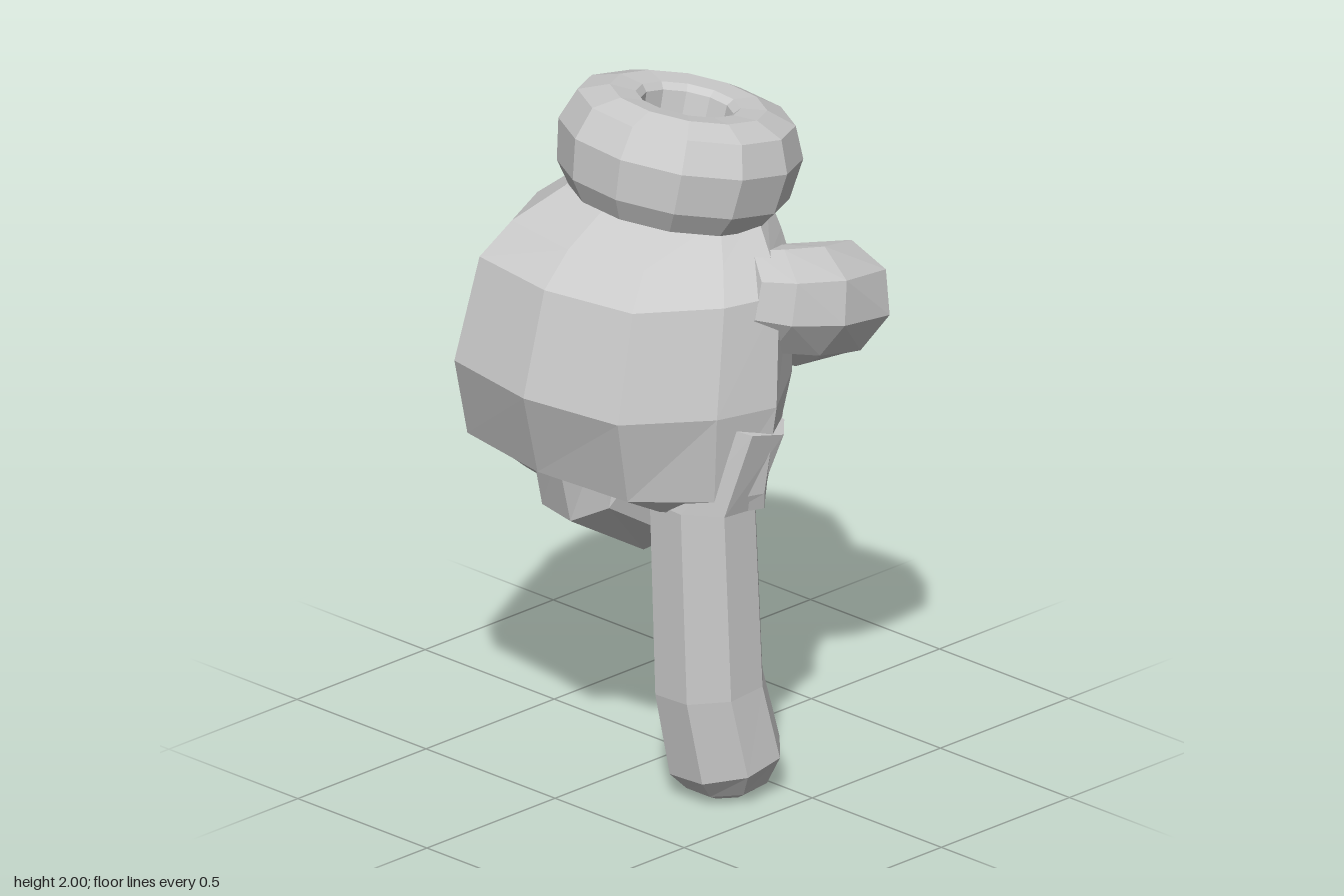
import * as THREE from 'three';

const grey = new THREE.MeshStandardMaterial({ color: 0xcccccc, flatShading: true });
const blue = new THREE.MeshStandardMaterial({ color: 0x7896a5, flatShading: true });

// Closed skin over loops that run counter-clockwise about the direction of travel
function loft(name, rings) {
  const n = rings[0].length;
  const pos = [];
  const tri = (...corners) => corners.forEach((p) => pos.push(p.x, p.y, p.z));
  const middle = (ring) => ring.reduce((s, p) => s.add(p), new THREE.Vector3()).divideScalar(n);
  const first = rings[0], last = rings[rings.length - 1];
  const start = middle(first), end = middle(last);
  for (let i = 0; i < n; i++) {
    const j = (i + 1) % n;
    for (let k = 0; k < rings.length - 1; k++) {
      const a = rings[k], b = rings[k + 1];
      tri(a[i], a[j], b[j]);
      tri(a[i], b[j], b[i]);
    }
    tri(first[j], first[i], start);
    tri(last[i], last[j], end);
  }
  const geo = new THREE.BufferGeometry();
  geo.setAttribute('position', new THREE.Float32BufferAttribute(pos, 3));
  geo.computeVertexNormals();
  const mesh = new THREE.Mesh(geo, grey);
  mesh.name = name;
  return mesh;
}

// Eight-sided finger along a path of [x, y, z, radius]; side is a fixed cross direction
function finger(name, path, side) {
  const pts = path.map((p) => new THREE.Vector3(p[0], p[1], p[2]));
  const across = new THREE.Vector3(...side);
  const rings = pts.map((p, k) => {
    const t = pts[Math.min(k + 1, pts.length - 1)].clone().sub(pts[Math.max(k - 1, 0)]).normalize();
    const u = across.clone().addScaledVector(t, -t.dot(across)).normalize();
    const v = t.clone().cross(u);
    return Array.from({ length: 8 }, (_, i) => {
      const a = ((i + 0.5) / 8) * Math.PI * 2;
      return p.clone().addScaledVector(u, Math.cos(a) * path[k][3]).addScaledVector(v, Math.sin(a) * path[k][3]);
    });
  });
  return loft(name, rings);
}

// Palm: one uneven outline scaled into a box at each height, sloping down to +x
function palm() {
  const outline = [[-0.7, 0.9], [-0.06, 1], [0.57, 0.82], [0.9, 0.2], [1, -0.3],
    [0.7, -0.85], [0, -1], [-0.6, -0.9], [-0.88, -0.65], [-1, -0.2], [-0.93, 0.25]];
  // y, left x, right x, back z, front z, slope
  const levels = [
    [0.89, -0.37, 0.42, -0.04, 0.38, 0.02],
    [0.95, -0.51, 0.43, -0.09, 0.50, 0.03],
    [1.2, -0.49, 0.46, -0.16, 0.58, 0.02],
    [1.5, -0.46, 0.43, -0.18, 0.50, 0.01],
    [1.59, -0.41, 0.36, -0.18, 0.40, 0.01],
    [1.69, -0.28, 0.28, -0.16, 0.29, 0.01],
    [1.75, -0.22, 0.25, -0.15, 0.24, 0.01],
  ];
  return loft('palm', levels.map(([y, x0, x1, z0, z1, slope]) => outline.map(([u, v]) =>
    new THREE.Vector3((x0 + x1) / 2 + (u * (x1 - x0)) / 2, y - u * slope, (z0 + z1) / 2 + (v * (z1 - z0)) / 2))));
}

// Tilted ring-shaped cuff with a blue floor in its opening
function cuff() {
  const group = new THREE.Group();
  group.name = 'cuff';
  const profile = [[0.18, -0.16], [0.28, -0.155], [0.325, -0.09], [0.342, 0.03], [0.305, 0.12],
    [0.22, 0.15], [0.147, 0.143], [0.13, 0.125], [0.12, -0.03]];
  const ring = new THREE.Mesh(
    new THREE.LatheGeometry(profile.map(([r, y]) => new THREE.Vector2(r, y)), 12, Math.PI / 12), grey);
  ring.name = 'cuffRing';
  const floor = new THREE.Mesh(new THREE.CircleGeometry(0.125, 12, Math.PI / 12), blue);
  floor.name = 'cuffFloor';
  floor.rotation.x = -Math.PI / 2;
  floor.position.y = 0.02;
  group.add(ring, floor);
  group.position.set(0.03, 1.81, 0.047);
  group.rotation.set(-0.19, 0, -0.06);
  return group;
}

export function createModel() {
  const model = new THREE.Group();
  model.name = 'pointingGlove';
  model.add(palm(), cuff());

  // Straight finger pointing down
  model.add(finger('indexFinger', [
    [0.305, 1.13, 0.12, 0.165], [0.258, 0.88, 0.185, 0.157], [0.27, 0.33, 0.172, 0.16],
    [0.285, 0.1, 0.125, 0.166], [0.285, 0.03, 0.118, 0.12], [0.285, 0.005, 0.116, 0.08],
  ], [1, 0, 0]));

  // Two fingers curled under the palm and back up
  model.add(finger('middleFinger', [
    [-0.05, 1.05, 0.36, 0.14], [-0.05, 0.91, 0.32, 0.16], [-0.05, 0.785, 0.1, 0.165], [-0.05, 0.81, -0.1, 0.165],
    [-0.06, 0.95, -0.23, 0.165], [-0.07, 1.1, -0.225, 0.145], [-0.08, 1.18, -0.215, 0.1], [-0.08, 1.21, -0.21, 0.05],
  ], [1, -0.2, 0]));
  model.add(finger('outerFinger', [
    [-0.33, 1.0, 0.3, 0.13], [-0.33, 0.89, 0.16, 0.14], [-0.34, 0.88, -0.03, 0.143], [-0.33, 0.97, -0.2, 0.143],
    [-0.265, 1.17, -0.28, 0.14], [-0.25, 1.25, -0.285, 0.11], [-0.245, 1.28, -0.285, 0.06],
  ], [1, -0.15, 0]));

  // Thumb sweeping round the back
  model.add(finger('thumb', [
    [0.29, 1.465, 0.09, 0.14], [0.32, 1.435, 0, 0.155], [0.345, 1.4, -0.13, 0.163], [0.32, 1.36, -0.265, 0.165],
    [0.2, 1.28, -0.365, 0.157], [0.03, 1.18, -0.43, 0.15], [-0.1, 1.14, -0.455, 0.135], [-0.155, 1.12, -0.465, 0.09],
    [-0.175, 1.115, -0.468, 0.05],
  ], [-0.2, 1, 0]));

  return model;
}
